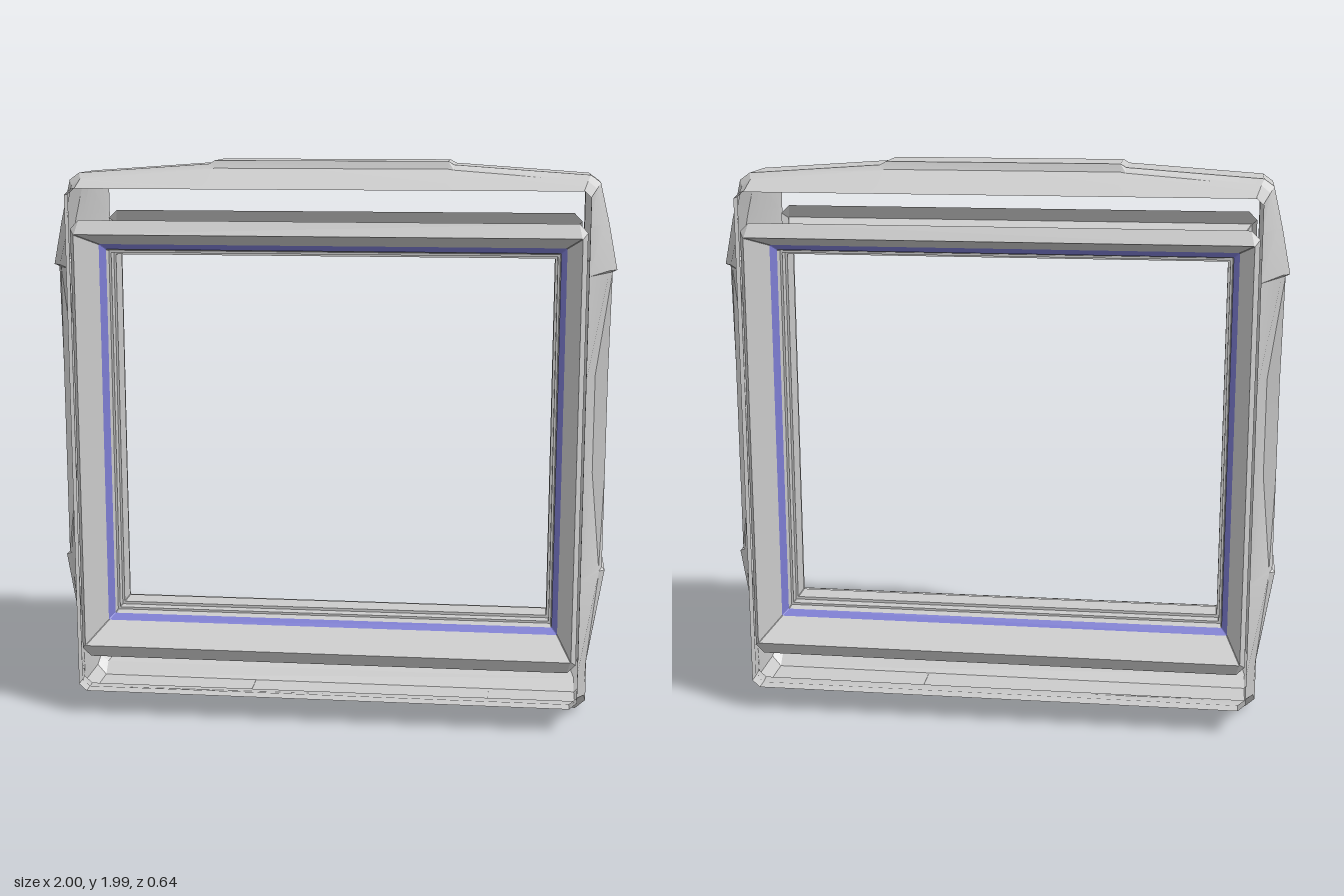
import * as THREE from 'three';
import { toCreasedNormals } from 'three/addons/utils/BufferGeometryUtils.js';

const grey = new THREE.MeshStandardMaterial({ color: 0xcccccc, side: THREE.DoubleSide });
const blue = new THREE.MeshStandardMaterial({ color: 0x7c7cd2, side: THREE.DoubleSide });

// Skin a row of closed loops, each a list of [x, y, z]
function loft(loops) {
  const n = loops[0].length;
  const index = [];
  for (let j = 0; j < loops.length - 1; j++) {
    for (let i = 0; i < n; i++) {
      const a = j * n + i, b = j * n + (i + 1) % n;
      index.push(a, b, b + n, a, b + n, a + n);
    }
  }
  const geo = new THREE.BufferGeometry();
  geo.setAttribute('position', new THREE.Float32BufferAttribute(loops.flat(2), 3));
  geo.setIndex(index);
  return toCreasedNormals(geo, 0.4);
}

function add(parent, name, geo, mat = grey) {
  const mesh = new THREE.Mesh(geo, mat);
  mesh.name = name;
  parent.add(mesh);
  return mesh;
}

// Half outline (bottom to top on the left side) mirrored into a closed loop
const mirrorLoop = (half) => [...half, ...half.slice().reverse().map(([x, y, z]) => [-x, y, z])];
const flipZ = (loop) => loop.map(([x, y, z]) => [x, y, -z]);

// Outer band: raised side panels, stepped shoulders and a raised top plate
const band = [
  [0.9, 0.01, 0.085], [0.935, 0.045, 0.095], [0.935, 0.2, 0.095], [0.99, 0.54, 0.095],
  [0.98, 0.55, 0.09], [0.98, 0.9, 0.09], [0.98, 1.25, 0.09], [0.985, 1.612, 0.09],
  [1.0, 1.62, 0.1], [0.968, 1.78, 0.1], [0.935, 1.92, 0.1], [0.9, 1.945, 0.1],
  [0.43, 1.978, 0.1], [0.41, 1.99, 0.098],
];

// Ridge beside the band, pinched in along the sides
const ridge = [
  [0.9, 0.05, 0.125], [0.928, 0.075, 0.125], [0.932, 0.2, 0.12], [0.97, 0.54, 0.11],
  [0.968, 0.55, 0.108], [0.935, 0.9, 0.105], [0.935, 1.25, 0.105], [0.972, 1.612, 0.115],
  [0.974, 1.62, 0.125], [0.95, 1.78, 0.127], [0.922, 1.9, 0.127], [0.89, 1.925, 0.127],
  [0.43, 1.96, 0.115], [0.41, 1.963, 0.11],
];

// Plain rim loop with the same point count as the ridge
function rim(z) {
  return ridge.map(([, y], i) => {
    if (i === 0) return [0.87, 0.09, z];
    if (i === 1) return [0.897, 0.115, z];
    if (i < 10) return [0.897, y, z];
    if (i === 10) return [0.897, 1.878, z];
    return [i === 11 ? 0.873 : ridge[i][0], 1.9, z];
  });
}

// Rectangular loop around the opening, with chamfered corners
function rectLoop([hx, hy, z, c = 0.002]) {
  const quarter = [[hx, hy - c], [hx - c, hy]];
  const pts = [
    ...quarter,
    ...quarter.slice().reverse().map(([x, y]) => [-x, y]),
    ...quarter.map(([x, y]) => [-x, -y]),
    ...quarter.slice().reverse().map(([x, y]) => [x, -y]),
  ];
  return pts.map(([x, y]) => [x, y + 1, z]);
}

export function createModel() {
  const model = new THREE.Group();
  model.name = 'windowFrame';

  // Outer shell, front half then back half
  const front = [rim(0.32), rim(0.27), ridge, band].map(mirrorLoop);
  const back = front.slice().reverse().map(flipZ);
  add(model, 'outerShell', loft([...front, ...back]));

  // Inner frame: flared lip, splayed face and stepped reveal
  const lip = [[0.89, 0.79, 0.28, 0.03], [0.872, 0.742, 0.31], [0.826, 0.696, 0.14]];
  const strip = [[0.826, 0.696, 0.14], [0.806, 0.676, 0.115]];
  const reveal = [
    [0.806, 0.676, 0.115], [0.803, 0.67, 0.085], [0.795, 0.662, 0.085],
    [0.795, 0.662, 0.045], [0.787, 0.652, 0.045],
  ];
  for (const [side, s] of [['front', 1], ['back', -1]]) {
    const ring = (rows) => loft(rows.map(([x, y, z, c]) => rectLoop([x, y, z * s, c])));
    add(model, side + 'InnerLip', ring(lip));
    add(model, side + 'LightStrip', ring(strip), blue);
    add(model, side + 'Reveal', ring(reveal));
  }
  add(model, 'openingEdge', loft([rectLoop([0.787, 0.652, 0.045]), rectLoop([0.787, 0.652, -0.045])]));

  // Foot pads under the bottom rail
  for (const s of [1, -1]) {
    const foot = add(model, s > 0 ? 'leftFoot' : 'rightFoot', new THREE.BoxGeometry(0.27, 0.012, 0.14));
    foot.position.set(0.445 * s, 0.006, 0);
  }
  return model;
}
